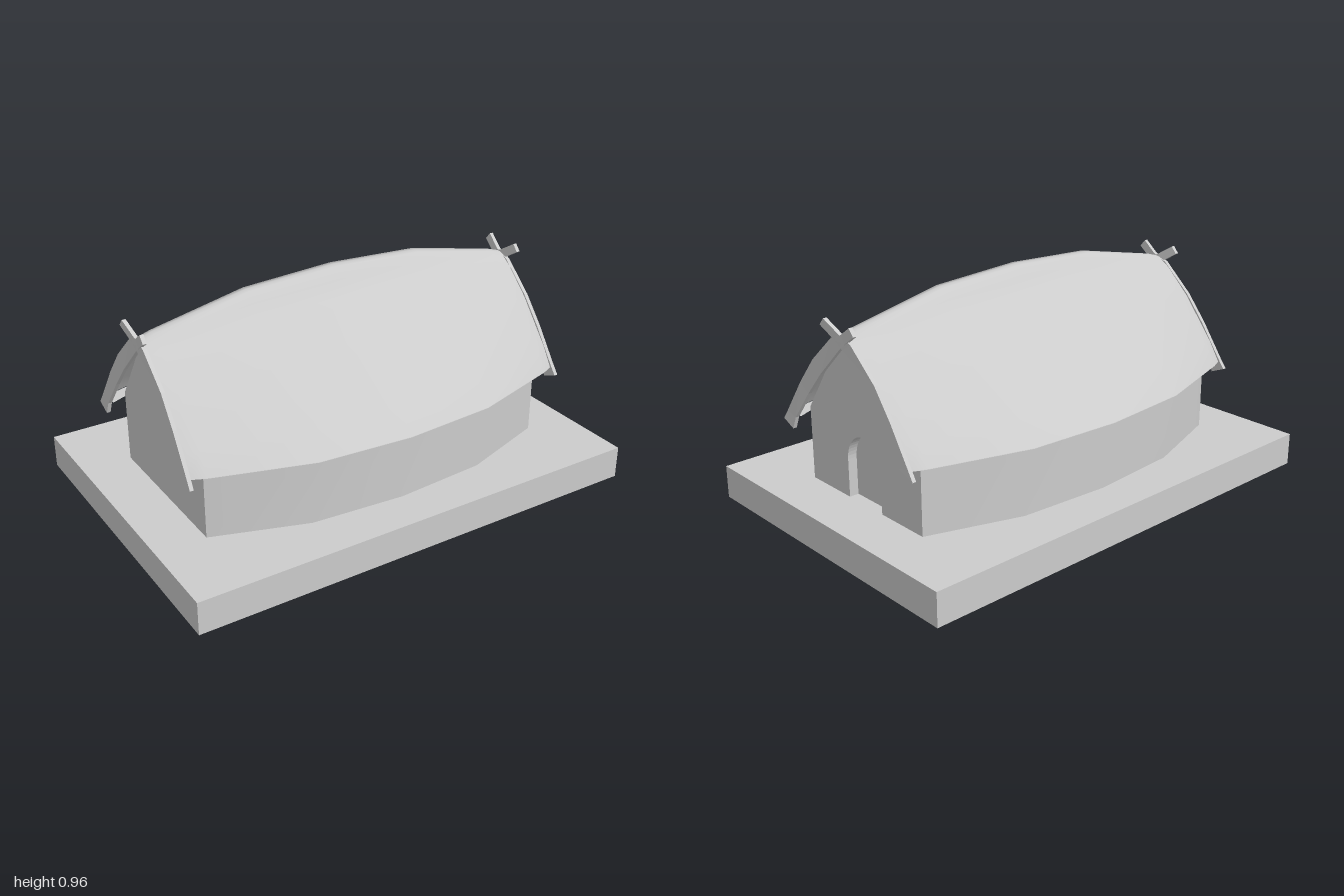
import * as THREE from 'three';

const material = new THREE.MeshStandardMaterial({ color: 0xcccccc, side: THREE.DoubleSide });
const flatMaterial = new THREE.MeshStandardMaterial({ color: 0xcccccc, side: THREE.DoubleSide, flatShading: true });

// Skin between cross-sections with equal point counts; a closed skin wraps around and gets end caps.
function loft(sections, closed = false) {
  const n = sections[0].length;
  const index = [];
  const spans = closed ? n : n - 1;
  for (let i = 0; i < sections.length - 1; i++) {
    for (let j = 0; j < spans; j++) {
      const k = (j + 1) % n;
      const a = i * n + j, b = a + n, c = (i + 1) * n + k, d = i * n + k;
      index.push(a, b, c, a, c, d);
    }
  }
  if (closed) {
    const e = (sections.length - 1) * n;
    for (let j = 1; j < n - 1; j++) {
      index.push(0, j, j + 1, e, e + j + 1, e + j);
    }
  }
  const geometry = new THREE.BufferGeometry();
  geometry.setAttribute('position', new THREE.Float32BufferAttribute(sections.flat(2), 3));
  geometry.setIndex(index);
  geometry.computeVertexNormals();
  return geometry;
}

export function createModel() {
  const model = new THREE.Group();
  model.name = 'longhouse';
  const add = (name, geometry, mat = material) => {
    const mesh = new THREE.Mesh(geometry, mat);
    mesh.name = name;
    model.add(mesh);
    return mesh;
  };

  // Plinth, open underneath
  const plinth = new THREE.BoxGeometry(2, 0.14, 1.38);
  const faces = Array.from(plinth.index.array);
  faces.splice(18, 6);
  plinth.setIndex(faces);
  plinth.clearGroups();
  add('plinth', plinth).position.y = 0.07;

  // Bowed long walls
  const plan = [[-0.79, 0.35], [-0.4, 0.48], [0, 0.51], [0.4, 0.48], [0.79, 0.35]];
  for (const s of [1, -1]) {
    const sections = plan.map(([x, z]) => [[s * x, 0.135, s * z], [s * x, 0.435, s * z]]);
    add(s > 0 ? 'frontWall' : 'backWall', loft(sections));
  }

  // Gable walls, with an arched doorway in the left one
  const outline = [[0.35, 0.135], [0.35, 0.45], [0.2, 0.67], [0.07, 0.8], [0, 0.825],
    [-0.07, 0.8], [-0.2, 0.67], [-0.35, 0.45], [-0.35, 0.135]];
  for (const s of [1, -1]) {
    const shape = new THREE.Shape(outline.map(([z, y]) => new THREE.Vector2(z, y)));
    if (s > 0) {
      shape.lineTo(-0.105, 0.135);
      shape.lineTo(-0.105, 0.3);
      shape.absellipse(0, 0.3, 0.105, 0.12, Math.PI, 0, true);
      shape.lineTo(0.105, 0.135);
    }
    const gable = new THREE.ExtrudeGeometry(shape, { depth: 0.04, bevelEnabled: false, curveSegments: 12 });
    gable.translate(0, 0, 0.75);
    gable.rotateY(s * Math.PI / 2);
    add(s > 0 ? 'leftGable' : 'rightGable', gable);
  }
  const door = new THREE.BoxGeometry(0.02, 0.3, 0.24);
  add('door', door).position.set(0.74, 0.285, 0);

  // Roof: profile blends from the tall middle to the lower, rounder ends
  const middle = [[0.56, 0.435], [0.47, 0.524], [0.245, 0.73], [0.1, 0.862], [0.05, 0.912], [0.026, 0.96], [0, 0.962]];
  const end = [[0.385, 0.435], [0.335, 0.515], [0.19, 0.7], [0.08, 0.805], [0.04, 0.83], [0.02, 0.842], [0, 0.845]];
  const stations = [[-0.855, 1], [-0.8, 0.86], [-0.4, 0.17], [0, 0], [0.4, 0.17], [0.8, 0.86], [0.855, 1]];
  const mix = THREE.MathUtils.lerp;
  const roofSections = stations.map(([x, t]) => {
    const half = middle.map(([z, y], i) => [x, mix(y, end[i][1], t), mix(z, end[i][0], t)]);
    const back = half.slice(0, -1).reverse().map(([px, y, z]) => [px, y, -z]);
    return [...half, ...back];
  });
  add('roof', loft(roofSections));

  // Narrow soffits between the eaves and the walls
  for (const s of [1, -1]) {
    const sections = stations.map(([x, t]) => {
      const z = mix(0.56, 0.385, t);
      return [[s * x, 0.433, s * (z - 0.065)], [s * x, 0.433, s * z]];
    });
    add(s > 0 ? 'frontSoffit' : 'backSoffit', loft(sections));
  }

  // Curved gable boards crossing at the ridge: outer z, y, inner z, y, x
  const boardLine = [
    [0.413, 0.405, 0.35, 0.378, 0.859],
    [0.385, 0.445, 0.33, 0.43, 0.857],
    [0.285, 0.592, 0.235, 0.555, 0.853],
    [0.195, 0.705, 0.15, 0.655, 0.85],
    [0.06, 0.825, 0.01, 0.79, 0.851],
    [-0.01, 0.852, -0.03, 0.82, 0.855],
    [-0.08, 0.897, -0.105, 0.868, 0.868],
  ];
  for (const sx of [1, -1]) {
    for (const sz of [1, -1]) {
      const sections = boardLine.map(([zo, yo, zi, yi, x]) => {
        const ring = [[x + 0.016, yi, zi], [x + 0.016, yo, zo], [x, yo, zo], [x, yi, zi]]
          .map(([px, y, z]) => [sx * px, y, sz * z]);
        return sx * sz < 0 ? ring.reverse() : ring;
      });
      const name = (sx > 0 ? 'left' : 'right') + (sz > 0 ? 'Front' : 'Back') + 'GableBoard';
      add(name, loft(sections, true), flatMaterial);
    }
  }

  return model;
}
